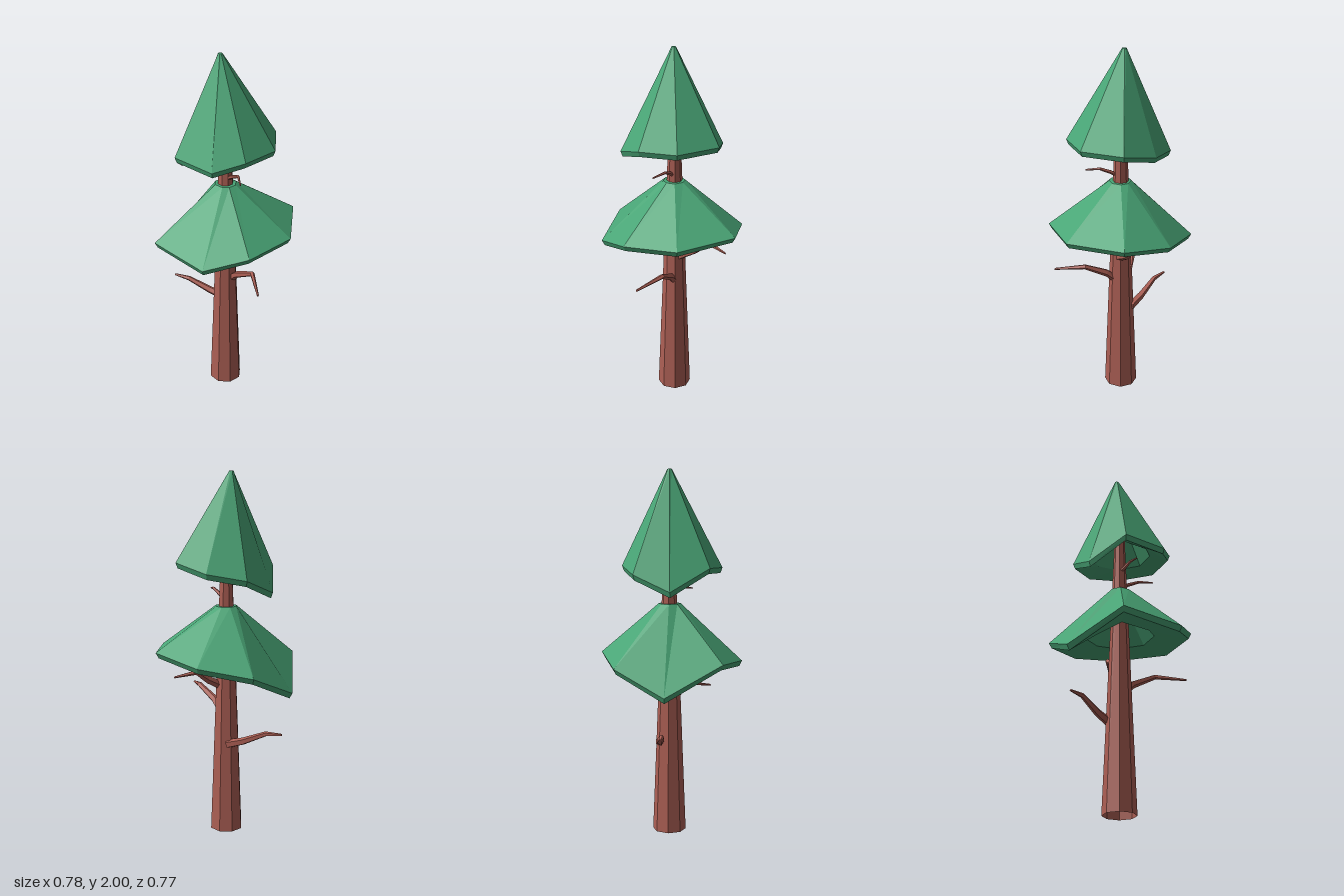
import * as THREE from 'three';

const V = (x, y, z) => new THREE.Vector3(x, y, z);

// Joins rings of equal point count into a skin, closing both ends.
function loft(rings) {
  const n = rings[0].length, pos = [], idx = [];
  rings.forEach(r => r.forEach(p => pos.push(p.x, p.y, p.z)));
  for (let k = 0; k < rings.length - 1; k++) {
    for (let i = 0; i < n; i++) {
      const j = (i + 1) % n, a = k * n, b = a + n;
      idx.push(a + i, a + j, b + j, a + i, b + j, b + i);
    }
  }
  const last = (rings.length - 1) * n;
  for (let i = 1; i < n - 1; i++) {
    idx.push(0, i + 1, i);
    idx.push(last, last + i, last + i + 1);
  }
  const g = new THREE.BufferGeometry();
  g.setAttribute('position', new THREE.Float32BufferAttribute(pos, 3));
  g.setIndex(idx);
  const flat = g.toNonIndexed();
  flat.computeVertexNormals();
  return flat;
}

// Hollow skirt of foliage: uneven rim, small top, shallow underside with a steep core.
function canopy(rimPoints, top, topRadius, shelf, core) {
  const rim = rimPoints.map(p => V(...p));
  const inner = ({ t, y, mix }) => rim.map(p => V(
    THREE.MathUtils.lerp(p.x, top.x, t),
    THREE.MathUtils.lerp(p.y, y, mix),
    THREE.MathUtils.lerp(p.z, top.z, t)));
  const lip = rim.map(p => V(p.x * 0.96, p.y - 0.03, p.z * 0.96));
  const crown = rim.map(p => {
    const a = Math.atan2(p.z - top.z, p.x - top.x);
    return V(top.x + topRadius * Math.cos(a), top.y, top.z + topRadius * Math.sin(a));
  });
  return loft([inner(core), inner(shelf), lip, rim, crown]);
}

// Tapered, bent twig with five sides.
function branch(points, radii) {
  const p = points.map(q => V(...q));
  const dir = p[p.length - 1].clone().sub(p[0]).normalize();
  const u = V(0, 1, 0).cross(dir).normalize();
  const v = dir.clone().cross(u);
  return loft(p.map((c, k) => Array.from({ length: 5 }, (_, i) => {
    const a = (i / 5) * Math.PI * 2;
    return c.clone()
      .addScaledVector(u, radii[k] * Math.cos(a))
      .addScaledVector(v, radii[k] * Math.sin(a));
  })));
}

export function createModel() {
  const tree = new THREE.Group();
  tree.name = 'pineTree';
  const bark = new THREE.MeshStandardMaterial({ color: 0xac5f54, flatShading: true, side: THREE.DoubleSide });
  bark.name = 'bark';
  const needles = new THREE.MeshStandardMaterial({ color: 0x49a576, flatShading: true });
  needles.name = 'needles';
  const add = (name, geometry, material) => {
    const m = new THREE.Mesh(geometry, material);
    m.name = name;
    tree.add(m);
    return m;
  };

  // Trunk, open at the foot
  const height = 1.62;
  const trunk = add('trunk', new THREE.CylinderGeometry(0.029, 0.092, height, 8, 1, true), bark);
  trunk.position.set(-0.002, height / 2, -0.014);

  // Foliage tiers, rim points counterclockwise from above
  add('lowerCanopy', canopy([
    [-0.005, 1.01, -0.388], [-0.28, 0.96, -0.285], [-0.39, 0.83, -0.01], [-0.275, 0.99, 0.29],
    [0.065, 0.957, 0.385], [0.278, 1.02, 0.265], [0.39, 1.035, -0.01], [0.27, 1.055, -0.322],
  ], V(0, 1.28, -0.012), 0.06,
  { t: 0.52, y: 1.0, mix: 0.7 }, { t: 0.88, y: 1.2, mix: 1 }), needles);
  add('upperCanopy', canopy([
    [-0.005, 1.485, -0.272], [-0.2, 1.45, -0.19], [-0.263, 1.365, 0.01], [-0.18, 1.485, 0.215],
    [0.065, 1.472, 0.272], [0.21, 1.52, 0.18], [0.285, 1.525, -0.015], [0.19, 1.53, -0.235],
  ], V(-0.03, 2, -0.01), 0.012,
  { t: 0.38, y: 1.51, mix: 0.7 }, { t: 0.88, y: 1.78, mix: 1 }), needles);

  // Branches: root, knee, bend, tip
  const thick = [0.025, 0.021, 0.014, 0.006], thin = [0.012, 0.011, 0.008, 0.004];
  const branches = [
    [[[0.03, 0.685, -0.01], [0.08, 0.735, 0.012], [0.2, 0.8, 0.06], [0.3, 0.77, 0.2]], thick],
    [[[-0.03, 0.51, -0.065], [-0.12, 0.535, -0.055], [-0.25, 0.59, -0.035], [-0.34, 0.595, -0.03]], thick],
    [[[0.03, 0.84, -0.04], [0.065, 0.885, -0.12], [0.09, 0.94, -0.2], [0.18, 0.922, -0.28]], thick],
    [[[0.01, 1.31, -0.005], [0.045, 1.335, 0.01], [0.1, 1.362, 0.04], [0.145, 1.35, 0.105]], thin],
    [[[-0.01, 1.4, 0], [-0.01, 1.415, 0.035], [-0.01, 1.437, 0.08], [-0.015, 1.435, 0.135]], thin],
    [[[0, 1.5, -0.02], [0.02, 1.52, -0.045], [0.035, 1.55, -0.07], [0.06, 1.55, -0.11]], thin],
  ];
  branches.forEach(([path, radii], i) => add('branch' + (i + 1), branch(path, radii), bark));

  return tree;
}
